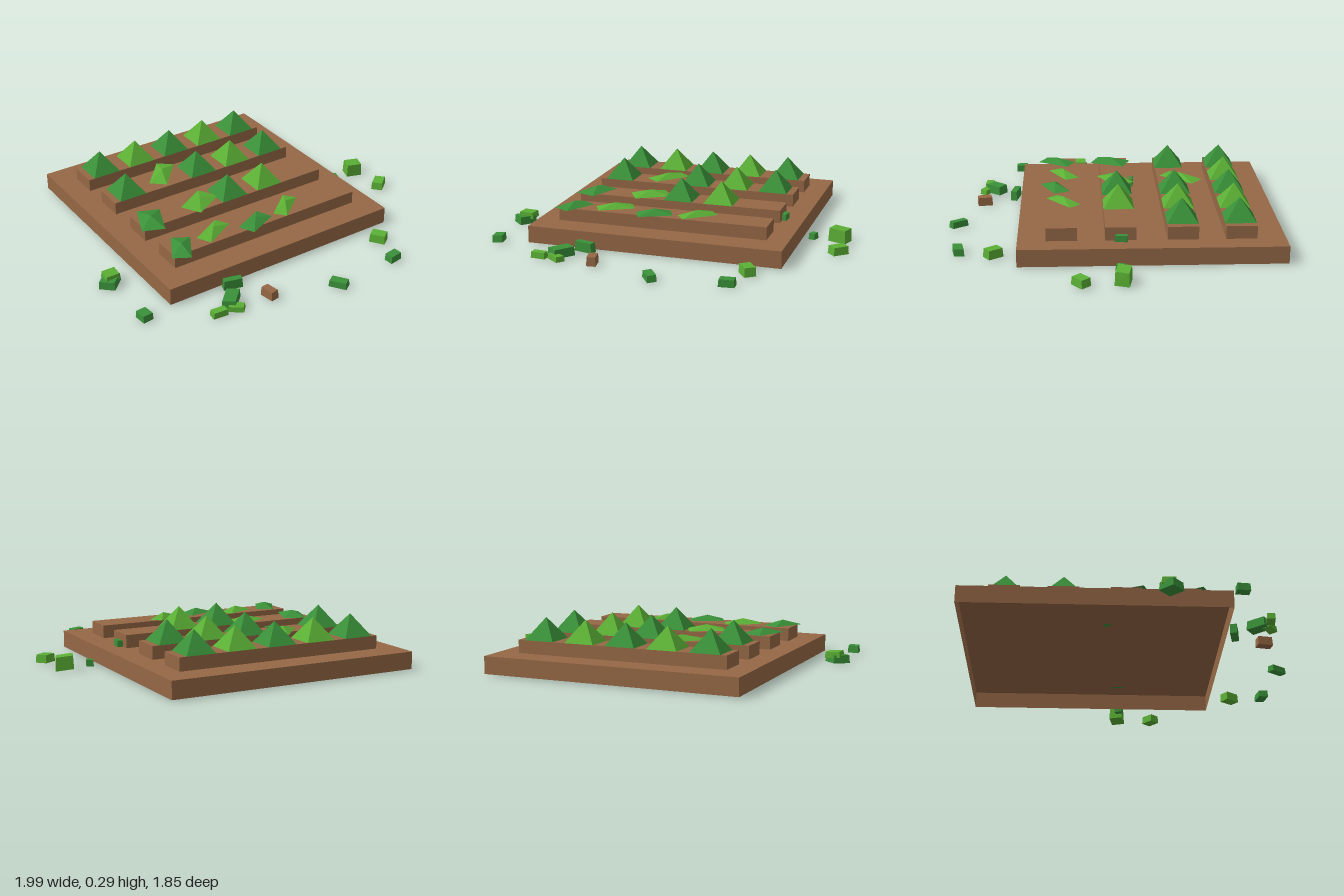
import * as THREE from 'three';

function material(name, color) {
  const m = new THREE.MeshStandardMaterial({ color, side: THREE.DoubleSide, flatShading: true });
  m.name = name;
  return m;
}

// Box without its underside, given by its limits
function openBox(x0, x1, y0, y1, z0, z1) {
  const g = new THREE.BoxGeometry(x1 - x0, y1 - y0, z1 - z0);
  g.setIndex([...g.index.array].filter((_, i) => i < 18 || i >= 24));
  g.clearGroups();
  return g.translate((x0 + x1) / 2, (y0 + y1) / 2, (z0 + z1) / 2);
}

// Unit pyramid on a unit square
function pyramidGeometry() {
  return new THREE.ConeGeometry(Math.SQRT1_2, 1, 4).rotateY(Math.PI / 4).translate(0, 0.5, 0);
}

// Small irregular block: the top is tapered and shifted, one end is skewed
function chunkGeometry(w, h, d, seed) {
  const g = new THREE.BoxGeometry(w, h, d);
  const p = g.attributes.position;
  const lean = Math.sin(seed * 2.3) * 0.1;
  for (let i = 0; i < p.count; i++) {
    const x = p.getX(i), y = p.getY(i), z = p.getZ(i);
    const k = y > 0 ? 0.92 : 1;
    p.setXYZ(i, x * k + (z / d) * w * lean, y + (x / w) * h * lean, z * k);
  }
  g.computeVertexNormals();
  return g.translate(0, h / 2, 0);
}

export function createModel() {
  const model = new THREE.Group();
  model.name = 'vegetablePlot';
  const soil = material('soilBrown', 0x966845);
  const dark = material('darkGreen', 0x3a9139);
  const light = material('lightGreen', 0x5bb035);

  const add = (name, geometry, mat) => {
    const mesh = new THREE.Mesh(geometry, mat);
    mesh.name = name;
    model.add(mesh);
    return mesh;
  };

  // Ground slab and four raised beds
  add('groundSlab', openBox(-0.75, 0.7, 0, 0.097, -0.93, 0.515), soil);
  const bedZ = [-0.69, -0.375, -0.04, 0.277];
  for (const z of bedZ) {
    add('raisedBed', openBox(-0.625, 0.58, 0.097, 0.17, z - 0.084, z + 0.084), soil);
  }

  // Standing plants: the columns that survive in each row
  const standing = [[0, 1, 2, 3, 4], [0, 2, 3, 4], [2, 3]];
  standing.forEach((columns, row) => {
    for (const c of columns) {
      const plant = add('standingPlant', pyramidGeometry(), c % 2 ? light : dark);
      plant.position.set(-0.505 + c * 0.24, 0.17, bedZ[row]);
      plant.scale.set(0.17, 0.12, 0.17);
    }
  });

  // Trampled plants: x, z, length, width, turn, colour
  const trampled = [
    [-0.233, -0.432, 0.24, 0.105, 0.86, light],
    [-0.548, -0.022, 0.21, 0.13, 1.19, dark],
    [-0.215, -0.04, 0.21, 0.13, 0.52, light],
    [-0.552, 0.307, 0.2, 0.105, 1.06, dark],
    [-0.32, 0.265, 0.21, 0.09, 0.5, light],
    [-0.073, 0.315, 0.195, 0.1, 0.44, dark],
    [0.165, 0.267, 0.21, 0.08, 0.69, light],
  ];
  for (const [x, z, length, width, turn, mat] of trampled) {
    const plant = add('trampledPlant', pyramidGeometry(), mat);
    plant.position.set(x, 0.172, z);
    plant.scale.set(length, 0.03, width);
    plant.rotation.y = turn;
  }

  // Scattered pieces: x, y, z, width, height, depth, turn, colour
  const pieces = [
    [-0.925, 0, 0.175, 0.1, 0.045, 0.09, 0.75, dark],
    [-0.91, 0.03, 0.16, 0.085, 0.035, 0.075, 0.05, light],
    [-0.92, 0, 0.537, 0.06, 0.04, 0.072, 0.05, dark],
    [-0.587, 0, 0.73, 0.085, 0.035, 0.045, -0.1, light],
    [-0.485, 0, 0.74, 0.085, 0.03, 0.05, -0.6, light],
    [-0.48, 0.005, 0.68, 0.12, 0.05, 0.075, 0.78, dark],
    [-0.39, 0, 0.56, 0.11, 0.055, 0.04, -0.22, dark],
    [-0.275, 0, 0.74, 0.05, 0.05, 0.085, 0.2, soil],
    [0.09, 0, 0.868, 0.05, 0.037, 0.1, 0.55, dark],
    [0.495, 0, 0.837, 0.085, 0.04, 0.055, 0.2, dark],
    [0.55, 0, 0.645, 0.065, 0.05, 0.09, 0.6, light],
    [0.94, 0, 0.178, 0.09, 0.045, 0.065, 0.65, light],
    [0.91, 0, -0.04, 0.1, 0.075, 0.08, -0.2, light],
    [0.76, 0, -0.032, 0.04, 0.035, 0.045, -0.35, dark],
    [0.59, 0.097, -0.042, 0.035, 0.035, 0.07, -0.1, dark],
    [-0.325, 0.097, -0.135, 0.06, 0.045, 0.035, -0.1, dark],
  ];
  pieces.forEach(([x, y, z, w, h, d, turn, mat], i) => {
    const piece = add('scatteredPiece', chunkGeometry(w, h, d, i + 1), mat);
    piece.position.set(x, y, z);
    piece.rotation.y = turn;
  });

  return model;
}
